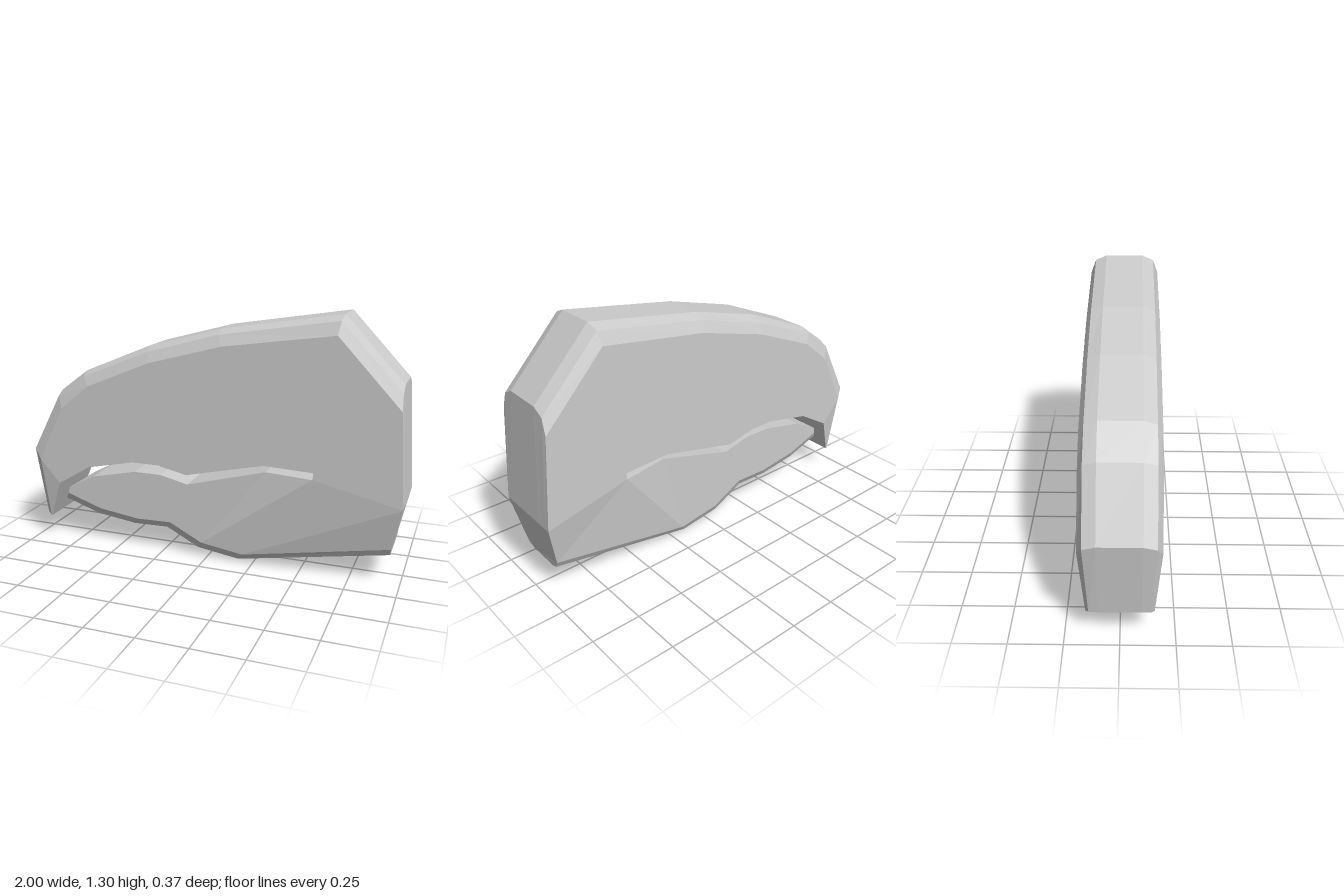
import * as THREE from 'three';

const material = new THREE.MeshStandardMaterial({ color: 0xcccccc, flatShading: true });

// Each section is four [x, y, z] points from the outer rim to the mouth, mirrored over z into a ring.
function jaw(name, sections, { flip = false, endCap = false } = {}) {
  const rings = sections.map(half => {
    const side = half.map(p => new THREE.Vector3(...p));
    const mirrored = side.map(p => new THREE.Vector3(p.x, p.y, -p.z)).reverse();
    return [...side, ...mirrored];
  });
  const positions = [];
  const tri = (a, b, c) => {
    if (new THREE.Triangle(a, b, c).getArea() < 1e-7) return;
    for (const p of flip ? [a, c, b] : [a, b, c]) positions.push(p.x, p.y, p.z);
  };
  const n = rings[0].length;
  for (let i = 0; i < rings.length - 1; i++) {
    for (let j = 0; j < n; j++) {
      const k = (j + 1) % n;
      tri(rings[i][j], rings[i][k], rings[i + 1][k]);
      tri(rings[i][j], rings[i + 1][k], rings[i + 1][j]);
    }
  }
  // Flat ends
  const first = rings[0], last = rings[rings.length - 1];
  for (let j = 1; j < n - 1; j++) {
    tri(first[0], first[j + 1], first[j]);
    if (endCap) tri(last[0], last[j], last[j + 1]);
  }
  const geometry = new THREE.BufferGeometry();
  geometry.setAttribute('position', new THREE.Float32BufferAttribute(positions, 3));
  geometry.computeVertexNormals();
  const mesh = new THREE.Mesh(geometry, material);
  mesh.name = name;
  return mesh;
}

export function createModel() {
  const group = new THREE.Group();
  group.name = 'beakedHead';

  // Upper head: rim, first bevel, second bevel, mouth edge (x, y pairs), from beak to nape
  const upper = [
    [-1, 0.53, -0.99, 0.51, -0.945, 0.46, -0.835, 0.335],
    [-0.835, 0.84, -0.825, 0.82, -0.80, 0.755, -0.65, 0.445],
    [-0.68, 0.955, -0.67, 0.932, -0.64, 0.885, -0.39, 0.50],
    [-0.31, 1.108, -0.30, 1.083, -0.29, 1.03, -0.25, 0.50],
    [0.07, 1.21, 0.075, 1.187, 0.10, 1.135, -0.09, 0.465],
    [0.675, 1.305, 0.67, 1.28, 0.66, 1.215, 0.32, 0.56],
    [0.965, 0.995, 0.965, 0.965, 0.968, 0.885, 0.57, 0.55],
    [1, 0.415, 1, 0.415, 1, 0.415, 0.565, 0.515],
  ].map(([ox, oy, ax, ay, bx, by, mx, my]) =>
    [[ox, oy, 0.10], [ax, ay, 0.16], [bx, by, 0.185], [mx, my, 0.185]]);
  const beakTip = [[-0.945, 0.14, 0.10], [-0.942, 0.14, 0.14], [-0.916, 0.125, 0.155], [-0.912, 0.126, 0.155]];
  group.add(jaw('upperHead', [beakTip, ...upper]));

  // Lower jaw: bottom rim point, mouth edge point and half width at the mouth
  const lower = [
    [-0.835, 0.215, -0.80, 0.30, 0.145],
    [-0.64, 0.15, -0.65, 0.38, 0.145],
    [-0.42, 0.12, -0.40, 0.435, 0.145],
    [-0.23, 0.125, -0.25, 0.435, 0.145],
    [-0.055, 0.035, -0.10, 0.40, 0.145],
    [-0.055, 0.035, 0.32, 0.515, 0.145],
    [0.17, 0.002, 0.565, 0.515, 0.185],
    [0.943, 0.143, 1, 0.415, 0.185],
  ].map(([x, y, mx, my, mz], i) => [
    [x, y, 0.085], [x + 0.005, y + 0.016, 0.125],
    [x + (i === 7 ? 0.008 : 0.03), y + 0.052, 0.145], [mx, my, mz]]);
  group.add(jaw('lowerJaw', lower, { flip: true, endCap: true }));

  return group;
}
